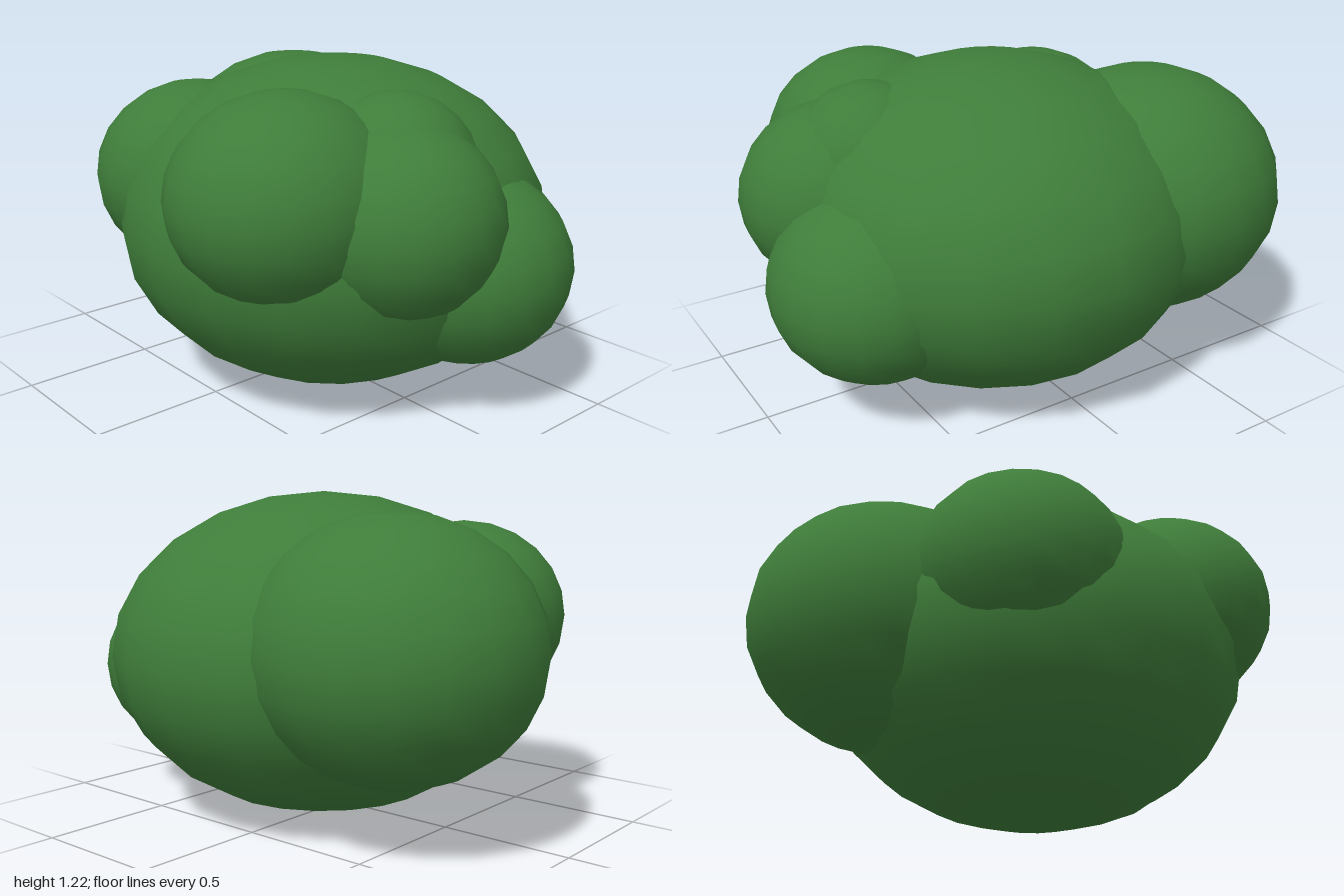
import * as THREE from 'three';

// Rounded bush: one broad ellipsoid with smaller leafy clumps pushed into it
export function createModel() {
  const group = new THREE.Group();
  group.name = 'bush';
  const leafGreen = new THREE.MeshStandardMaterial({ color: 0x3f7d3a });
  leafGreen.name = 'leaf green';

  const unitSphere = new THREE.SphereGeometry(1, 20, 12);

  // name, centre, radii
  const clumps = [
    ['mainFoliage', [0.06, 0.61, -0.03], [0.81, 0.61, 0.81]],
    ['backRightClump', [-0.47, 0.685, -0.28], [0.53, 0.47, 0.52]],
    ['frontRightClump', [-0.36, 0.75, 0.3], [0.39, 0.36, 0.39]],
    ['frontLeftClump', [0.33, 0.815, 0.43], [0.4, 0.365, 0.41]],
    ['leftClump', [0.59, 0.745, 0.15], [0.37, 0.345, 0.36]],
    ['lowerLeftClump', [0.62, 0.525, -0.17], [0.38, 0.355, 0.38]],
    ['upperLeftClump', [0.5, 0.86, 0.08], [0.3, 0.3, 0.3]],
  ];

  for (const [name, centre, radii] of clumps) {
    const clump = new THREE.Mesh(unitSphere, leafGreen);
    clump.name = name;
    clump.position.set(...centre);
    clump.scale.set(...radii);
    group.add(clump);
  }
  return group;
}
